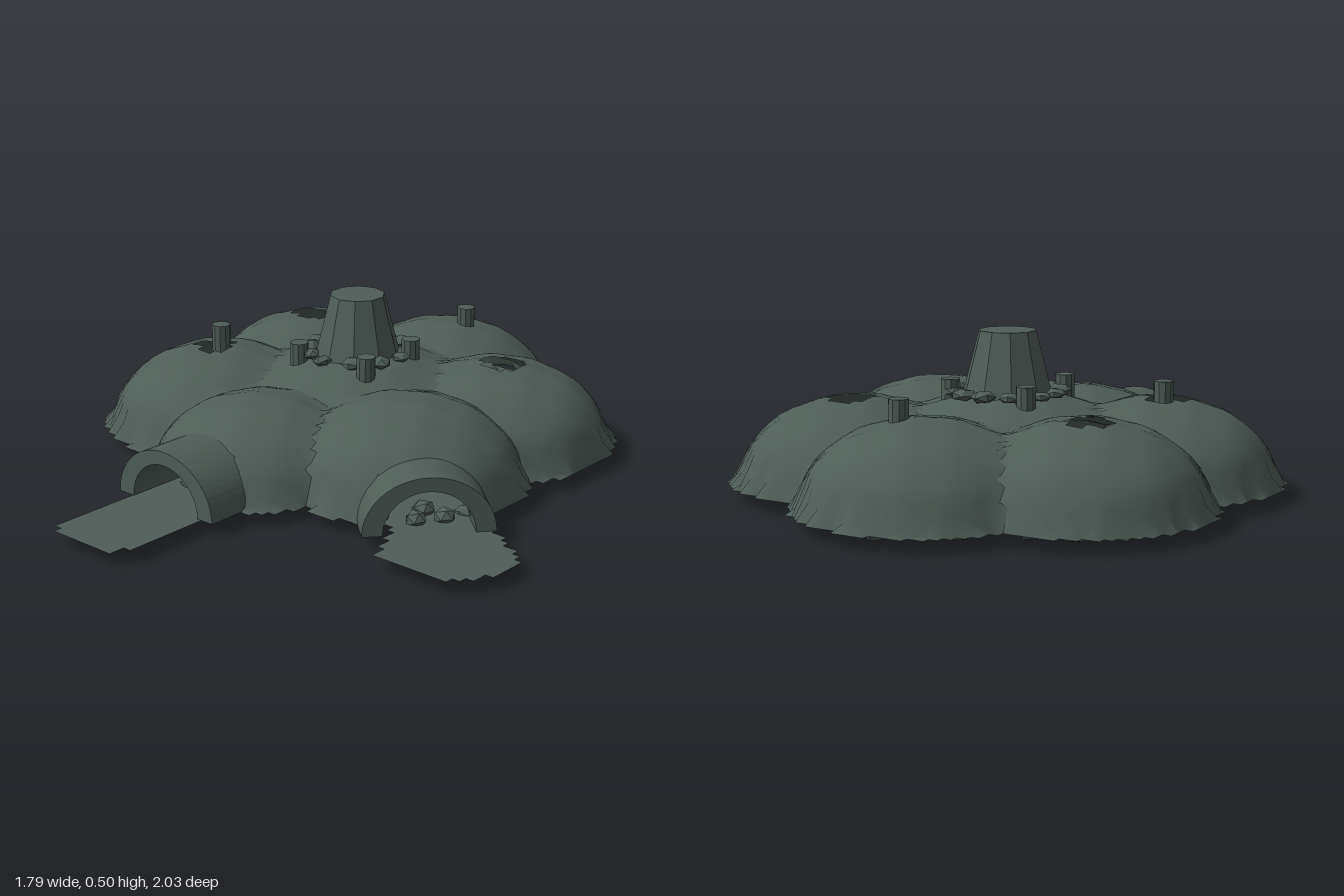
import * as THREE from 'three';

const stone = new THREE.MeshStandardMaterial({ color: 0x4f5d57, side: THREE.DoubleSide });
stone.name = 'grey green stone';
const ember = new THREE.MeshStandardMaterial({ color: 0x6b4a2c, side: THREE.DoubleSide });
ember.name = 'ember brown';

const BASE = 0.04, CELL = 0.0263;
const HUB = [-0.124, -0.19];

// x, z, radius, height of every dome
const domes = [[HUB[0], HUB[1], 0.45, 0.28]];
for (let i = 0; i < 6; i++) {
  const a = i * Math.PI / 3;
  const front = i === 0;
  domes.push([HUB[0] + 0.45 * Math.sin(a), HUB[1] + 0.45 * Math.cos(a), front ? 0.335 : 0.362, front ? 0.235 : 0.26]);
}
// start point, direction angle about y, and length of the entrance tunnels
const tunnels = [
  { x: HUB[0], z: 0.36, a: 0, len: 0.31 },
  { x: 0.36, z: 0.11, a: 0.84, len: 0.3 },
];
const skylights = [[-0.53, -0.43], [0.28, -0.43], [-0.53, 0.05]];

let seed = 7;
const rand = () => (seed = (seed * 16807) % 2147483647) / 2147483647;

// Tallest dome at a point, and its height
function tallest(x, z) {
  let h = 0, owner = -1;
  domes.forEach(([cx, cz, r, top], i) => {
    const q = 1 - ((x - cx) ** 2 + (z - cz) ** 2) / (r * r);
    if (q > 0 && top * Math.sqrt(q) > h) {
      h = top * Math.sqrt(q);
      owner = i;
    }
  });
  if (h > 0.08) h += 0.004 * Math.sin(x * 31 + z * 13) * Math.sin(z * 37 - x * 9);
  return { h, owner };
}
const height = (x, z) => tallest(x, z).h;

function inSkylight(x, z) {
  return skylights.some(([cx, cz]) => {
    const dx = Math.abs(x - cx), dz = Math.abs(z - cz);
    return (dx < 0.065 && dz < 0.035) || (dx < 0.035 && dz < 0.065);
  });
}

function inDoorway(x, z) {
  return tunnels.some(t => {
    const dx = x - t.x, dz = z - t.z;
    const lx = dx * Math.cos(t.a) - dz * Math.sin(t.a);
    const lz = dx * Math.sin(t.a) + dz * Math.cos(t.a);
    return Math.abs(lx) < 0.14 && lz > 0 && lz < 0.45 && height(x, z) < 0.16 * Math.sqrt(1 - (lx / 0.2) ** 2);
  });
}

// Stepped sheet on a square grid: keep(cell centre) picks the cells, y(x, z) lifts the corners
function gridSheet(keep, y) {
  const pos = [], index = [], ids = new Map();
  const vertex = (i, j) => {
    const key = i * 1000 + j;
    if (!ids.has(key)) {
      ids.set(key, pos.length / 3);
      pos.push(i * CELL, y(i * CELL, j * CELL), j * CELL);
    }
    return ids.get(key);
  };
  for (let i = -40; i < 40; i++) for (let j = -40; j < 40; j++) {
    if (!keep((i + 0.5) * CELL, (j + 0.5) * CELL)) continue;
    const a = vertex(i, j), b = vertex(i + 1, j), c = vertex(i + 1, j + 1), d = vertex(i, j + 1);
    index.push(a, d, b, b, d, c);
  }
  const g = new THREE.BufferGeometry();
  g.setAttribute('position', new THREE.Float32BufferAttribute(pos, 3));
  g.setIndex(index);
  g.computeVertexNormals();
  return g;
}

function insidePolygon(x, z, p) {
  let inside = false;
  for (let i = 0, j = p.length - 1; i < p.length; j = i++) {
    if ((p[i][1] > z) !== (p[j][1] > z) &&
      x < (p[j][0] - p[i][0]) * (z - p[i][1]) / (p[j][1] - p[i][1]) + p[i][0]) inside = !inside;
  }
  return inside;
}

function flat(geometry) {
  const g = geometry.toNonIndexed();
  g.computeVertexNormals();
  return g;
}

export function createModel() {
  const model = new THREE.Group();
  const add = (name, geometry, material, x = 0, y = 0, z = 0) => {
    const m = new THREE.Mesh(geometry, material);
    m.name = name;
    m.position.set(x, y, z);
    model.add(m);
    return m;
  };

  // Dome shells, one sheet per dome so the valleys between stay sharp
  const k = CELL / 2;
  const ownerOfCell = (x, z) => [[0, 0], [-k, -k], [k, -k], [k, k], [-k, k]]
    .map(([a, b]) => tallest(x + a, z + b).owner).find(o => o >= 0);
  domes.forEach((_, i) => add(i ? 'outerDome' : 'centralDome', gridSheet(
    (x, z) => ownerOfCell(x, z) === i && !inSkylight(x, z) && !inDoorway(x, z),
    (x, z) => BASE + height(x, z)), stone));

  // Floor
  add('floor', gridSheet((x, z) => height(x, z) > 0, () => BASE), stone);

  // Flat entrance aprons
  const aprons = [
    [[-0.27, 0.5], [0.02, 0.5], [0.02, 0.94], [-0.02, 1.0], [-0.23, 1.0], [-0.27, 0.94]],
    [[0.45, 0.3], [0.63, 0.12], [0.77, 0.2], [0.89, 0.29], [0.89, 0.41], [0.81, 0.525], [0.57, 0.525], [0.53, 0.46]],
  ];
  aprons.forEach((p, i) => add(i ? 'sideApron' : 'frontApron',
    gridSheet((x, z) => insidePolygon(x, z, p) && height(x, z) <= 0, () => BASE), stone));

  // Arched entrance tunnels
  const arch = new THREE.Shape();
  arch.moveTo(0.195, 0);
  arch.absellipse(0, 0, 0.195, 0.173, 0, Math.PI, false, 0);
  arch.lineTo(-0.135, 0);
  arch.absellipse(0, 0, 0.135, 0.13, Math.PI, 0, true, 0);
  arch.closePath();
  tunnels.forEach((t, i) => {
    const g = new THREE.ExtrudeGeometry(arch, { depth: t.len, bevelEnabled: false, curveSegments: 14 });
    add(i ? 'sideTunnel' : 'frontTunnel', g, stone, t.x, BASE, t.z).rotation.y = t.a;
  });

  // Central chimney
  add('chimney', flat(new THREE.CylinderGeometry(0.088, 0.142, 0.21, 10)), stone, HUB[0], 0.395, HUB[1]);

  // Short vent pipes around the chimney and on two domes
  const vents = [[-0.23, -0.03], [0.025, -0.06], [0.015, -0.29], [-0.26, -0.31], [-0.065, -0.68], [-0.55, 0]];
  vents.forEach(([x, z]) => add('ventPipe',
    flat(new THREE.CylinderGeometry(0.03, 0.03, 0.09, 10)), stone, x, 0.31, z));

  // Boulders
  const boulder = (name, x, y, z, r, squash) => {
    const m = add(name, new THREE.IcosahedronGeometry(r, 0), stone, x, y, z);
    m.scale.set(1, squash, 0.75 + 0.4 * rand());
    m.rotation.y = rand() * 6.28;
  };
  for (let i = 0; i < 12; i++) {
    const a = i * Math.PI / 6 + 0.2 * rand(), r = 0.15 + 0.02 * rand();
    boulder('chimneyBoulder', HUB[0] + r * Math.sin(a), 0.318, HUB[1] + r * Math.cos(a), 0.03 + 0.012 * rand(), 0.5);
  }
  // along the foot of the outer walls
  domes.slice(1).forEach(([cx, cz, r]) => {
    for (let i = 0; i < 16; i++) {
      const a = i * Math.PI / 8 + 0.2 * rand(), d = r - 0.055;
      const x = cx + d * Math.sin(a), z = cz + d * Math.cos(a);
      const edge = Math.hypot(x - HUB[0], z - HUB[1]) > 0.5;
      if (edge && !inDoorway(x, z)) boulder('wallBoulder', x, BASE, z, 0.03 + 0.016 * rand(), 0.6);
    }
  });

  // Ember beds: x, z, width, depth
  const beds = [[0.26, 0.05, 0.21, 0.21], [-0.2, -0.16, 0.13, 0.13], [-0.09, -0.69, 0.21, 0.21]];
  beds.forEach(([x, z, w, d]) => add('emberBed', new THREE.BoxGeometry(w, 0.009, d), ember, x, BASE, z));
  // standing ember blocks on the floor
  add('emberBlock', new THREE.BoxGeometry(0.06, 0.1, 0.06), ember, -0.075, 0.095, -0.1);
  add('emberBlock', new THREE.BoxGeometry(0.04, 0.03, 0.04), ember, 0.235, 0.058, -0.445);

  // boulders scattered over the floor, clear of skylights and embers
  for (let i = 0; i < 70; i++) {
    const a = rand() * 6.28, d = 0.62 * Math.sqrt(rand());
    const x = HUB[0] + d * Math.sin(a), z = HUB[1] + d * Math.cos(a);
    const clear = [...skylights, ...beds].every(([cx, cz]) => Math.hypot(x - cx, z - cz) > 0.12);
    if (clear) boulder('floorBoulder', x, BASE, z, 0.026 + 0.02 * rand(), 0.6);
  }
  boulder('floorBoulder', -0.3, BASE, 0.3, 0.047, 1);
  // and inside the two doorways
  [[-0.19, 0.5], [-0.07, 0.47], [-0.13, 0.42], [0.5, 0.27], [0.55, 0.2], [0.47, 0.2]].forEach(([x, z]) =>
    boulder('doorBoulder', x, BASE + 0.01, z, 0.035, 0.8));

  return model;
}
